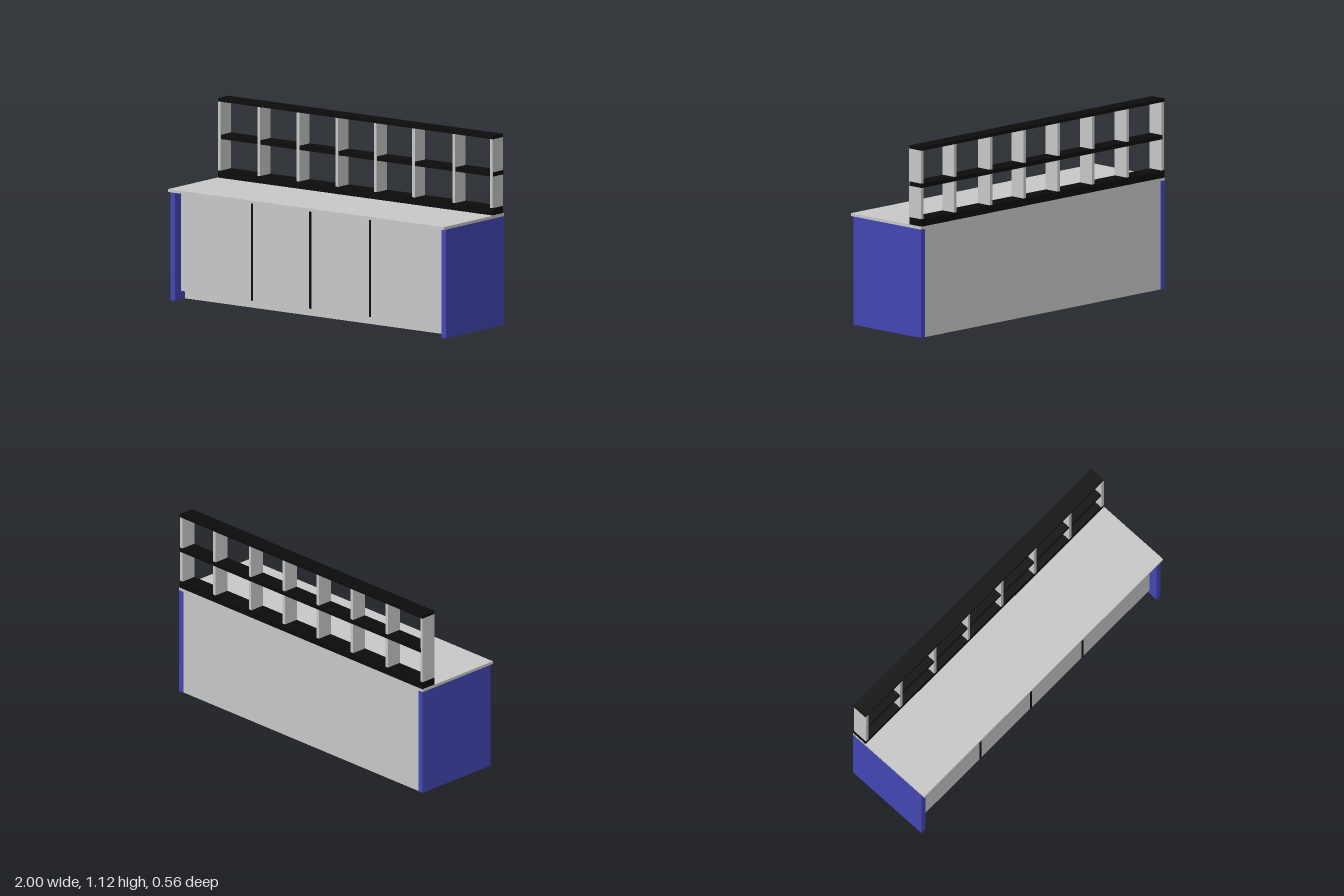
import * as THREE from 'three';

export function createModel() {
  const group = new THREE.Group();
  const material = (name, color) => {
    const m = new THREE.MeshStandardMaterial({ color });
    m.name = name;
    return m;
  };
  const grey = material('light grey', 0xc8c8c8);
  const blue = material('blue', 0x4346b3);
  const black = material('black', 0x0c0c0c);

  // Box given by its limits on each axis
  const box = (name, mat, [x0, x1], [y0, y1], [z0, z1]) => {
    const mesh = new THREE.Mesh(new THREE.BoxGeometry(x1 - x0, y1 - y0, z1 - z0), mat);
    mesh.position.set((x0 + x1) / 2, (y0 + y1) / 2, (z0 + z1) / 2);
    mesh.name = name;
    group.add(mesh);
  };

  const back = -0.2825;
  const shelfFront = -0.184;
  const doorFront = 0.205;

  // Cabinet: end panels, body and recessed plinth
  box('leftEndPanel', blue, [0.966, 1], [0, 0.635], [back, 0.262]);
  box('rightEndPanel', blue, [-1, -0.966], [0, 0.635], [back, 0.262]);
  box('cabinetBody', grey, [-0.966, 0.966], [0.05, 0.635], [back + 0.001, doorFront]);
  box('plinth', grey, [-0.966, 0.966], [0, 0.05], [back + 0.001, 0.165]);

  // Dark gaps between the four doors
  for (const x of [-0.45, -0.027, 0.405]) {
    box('doorGap', black, [x - 0.0075, x + 0.0075], [0.05, 0.635], [doorFront, doorFront + 0.003]);
  }

  // Worktop overhanging the front
  box('worktop', grey, [-1, 1], [0.635, 0.652], [back, 0.2825]);

  // Open shelf unit along the back edge
  box('bottomShelf', black, [-0.997, 0.995], [0.652, 0.695], [back, shelfFront]);
  box('middleShelf', black, [-0.98, 0.996], [0.879, 0.904], [back, shelfFront]);
  box('topShelf', black, [-0.997, 0.995], [1.097, 1.116], [back, shelfFront]);

  // Uprights between the shelves
  for (const x of [-0.986, -0.7, -0.415, -0.134, 0.145, 0.422, 0.714, 0.985]) {
    box('upright', grey, [x - 0.01, x + 0.01], [0.695, 1.097], [back + 0.004, shelfFront + 0.002]);
  }
  return group;
}
